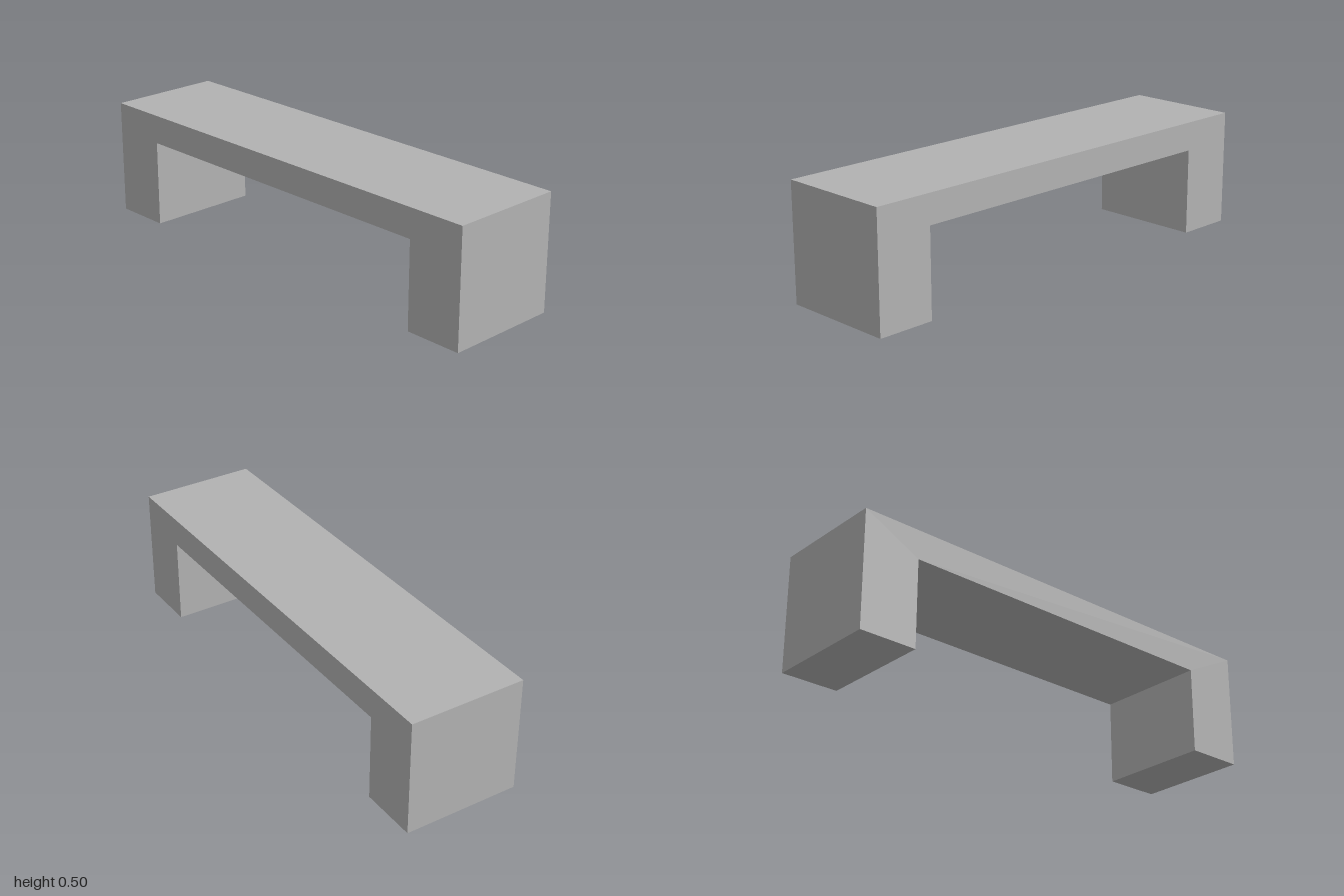
import * as THREE from 'three';

const LENGTH = 2, HEIGHT = 0.5, DEPTH = 0.5;
const LEG = 0.25;   // width of each end leg
const SLAB = 0.125; // thickness of the seat slab

export function createModel() {
  const model = new THREE.Group();
  model.name = 'bench';

  const grey = new THREE.MeshStandardMaterial({ color: 0xb2b2b2 });
  grey.name = 'grey';

  // Seat and both legs are one solid: an upturned U profile run front to back
  const outer = LENGTH / 2, inner = outer - LEG, under = HEIGHT - SLAB;
  const profile = new THREE.Shape([
    [-outer, 0], [-inner, 0], [-inner, under], [inner, under],
    [inner, 0], [outer, 0], [outer, HEIGHT], [-outer, HEIGHT],
  ].map(([x, y]) => new THREE.Vector2(x, y)));

  const geometry = new THREE.ExtrudeGeometry(profile, { depth: DEPTH, bevelEnabled: false });
  geometry.translate(0, 0, -DEPTH / 2);

  const body = new THREE.Mesh(geometry, grey);
  body.name = 'seatAndLegs';
  model.add(body);
  return model;
}
